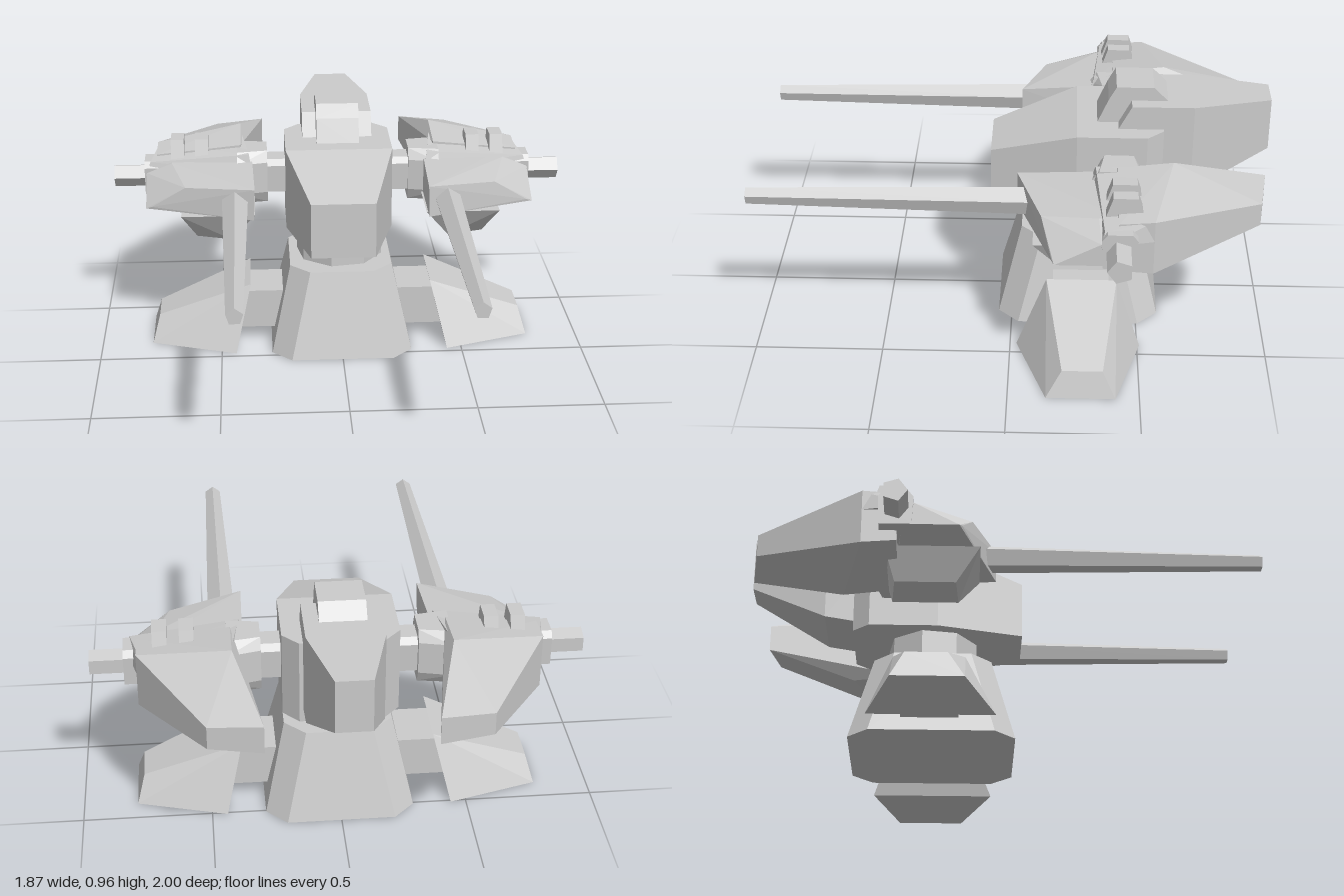
import * as THREE from 'three';
import { ConvexGeometry } from 'three/addons/geometries/ConvexGeometry.js';

const material = new THREE.MeshStandardMaterial({ color: 0xcccccc, flatShading: true });

export function createModel() {
  const model = new THREE.Group();
  model.name = 'gunTurret';

  const add = (name, geometry) => {
    const mesh = new THREE.Mesh(geometry, material);
    mesh.name = name;
    model.add(mesh);
    return mesh;
  };
  // Faceted solid around corner points; side = -1 mirrors it in x
  const solid = (name, points, side = 1) =>
    add(name, new ConvexGeometry(points.map(([x, y, z]) => new THREE.Vector3(side * x, y, z))));
  // Corners of a rectangle lying at height y
  const rect = (x0, x1, y, z0, z1) => [[x0, y, z0], [x1, y, z0], [x1, y, z1], [x0, y, z1]];
  // Corners of an upright rectangle at depth z
  const slice = (x0, x1, y0, y1, z) => [[x0, y0, z], [x1, y0, z], [x1, y1, z], [x0, y1, z]];
  // Corners of a rectangle with cut corners
  const cut = (hx, hz, c, y, zc) => [
    ...rect(-hx, hx, y, zc - hz + c, zc + hz - c),
    ...rect(-hx + c, hx - c, y, zc - hz, zc + hz),
  ];

  // Pedestal and neck
  solid('pedestal', [...cut(0.29, 0.32, 0.08, 0, -0.267), ...cut(0.21, 0.23, 0.08, 0.355, -0.267)]);
  const neck = add('neck', new THREE.CylinderGeometry(0.18, 0.18, 0.13, 8));
  neck.position.set(0, 0.415, -0.27);
  neck.rotation.y = THREE.MathUtils.degToRad(32);

  // Central body with its sloped nose
  solid('body', [
    ...slice(-0.13, 0.13, 0.47, 0.7, 0.085),
    ...slice(-0.22, 0.22, 0.47, 0.81, -0.25),
    ...slice(-0.22, 0.22, 0.47, 0.81, -0.52),
    ...slice(-0.16, 0.16, 0.47, 0.81, -0.585),
  ]);

  // Tail block narrowing to the rear, and the raised hatch on top
  solid('tail', [
    ...slice(-0.145, 0.145, 0.5, 0.81, -0.41),
    ...slice(-0.145, 0.145, 0.5, 0.905, -0.46),
    ...slice(-0.145, 0.145, 0.54, 0.905, -0.7),
    ...slice(-0.068, 0.068, 0.695, 0.905, -1),
  ]);
  solid('hatch', [
    ...rect(-0.088, 0.088, 0.79, -0.6, -0.32),
    ...rect(-0.088, 0.088, 0.905, -0.6, -0.37),
    ...rect(-0.088, 0.088, 0.96, -0.545, -0.4),
  ]);

  for (const side of [1, -1]) {
    // Foot with its strut
    const strut = add('legStrut', new THREE.BoxGeometry(0.28, 0.165, 0.22));
    strut.position.set(side * 0.31, 0.138, -0.275);
    solid('foot', [
      [0.44, 0, -0.025], [0.44, 0, -0.51], [0.79, 0, -0.145], [0.79, 0, -0.41],
      [0.375, 0.262, -0.14], [0.375, 0.262, -0.415],
      [0.76, 0.105, -0.205], [0.76, 0.105, -0.36],
    ], side);

    // Shoulder axle, hub and the stub at its outer end
    solid('shoulderAxle', [0.2, 0.805].flatMap((x) => [
      [x, 0.595, -0.345], [x, 0.595, -0.465], [x, 0.71, -0.34], [x, 0.71, -0.47],
      [x, 0.735, -0.36], [x, 0.735, -0.45],
    ]), side);
    solid('shoulderHub', [[0.295, 0.08], [0.42, 0.11]].flatMap(([x, h]) => [
      [x, 0.55, -0.41 - h * 0.7], [x, 0.55, -0.41 + h * 0.7],
      [x, 0.775, -0.41 - h * 0.7], [x, 0.775, -0.41 + h * 0.7],
      [x, 0.6, -0.41 - h], [x, 0.6, -0.41 + h], [x, 0.73, -0.41 - h], [x, 0.73, -0.41 + h],
    ]), side);
    const stub = add('axleStub', new THREE.CylinderGeometry(0.048, 0.048, 0.16, 5));
    stub.rotation.z = -Math.PI / 2;
    stub.position.set(side * 0.853, 0.662, -0.405);

    // Gun housing, wedge-shaped in plan
    solid('gunHousing', [
      [0.355, 0.595, -0.025], [0.77, 0.61, -0.16], [0.795, 0.6, -0.17], [0.795, 0.6, -0.38], [0.36, 0.57, -0.42],
      [0.35, 0.725, -0.025], [0.63, 0.705, -0.12], [0.69, 0.735, -0.33],
      [0.7, 0.74, -0.42], [0.36, 0.745, -0.42], [0.795, 0.69, -0.34],
    ], side);
    solid('keel', [
      ...rect(0.35, 0.65, 0.59, -0.45, -0.09),
      [0.45, 0.455, -0.17], [0.45, 0.455, -0.42], [0.59, 0.47, -0.18], [0.59, 0.47, -0.41],
    ], side);

    // Armour plate over the housing with two clamps
    solid('topPlate', [
      [0.36, 0.7, -0.3], [0.8, 0.68, -0.34], [0.755, 0.68, -0.53], [0.4, 0.7, -0.53],
      [0.37, 0.77, -0.32], [0.78, 0.735, -0.35], [0.745, 0.76, -0.53], [0.4, 0.79, -0.53],
    ], side);
    for (const x of [0.567, 0.667]) {
      solid('clamp', [
        ...rect(x - 0.027, x + 0.027, 0.73, -0.5, -0.35),
        ...rect(x - 0.027, x + 0.027, 0.82, -0.47, -0.38),
      ], side);
    }

    // Swept rear wing
    solid('rearWing', [
      [0.405, 0.53, -0.4], [0.405, 0.785, -0.4], [0.755, 0.555, -0.4], [0.755, 0.75, -0.4],
      [0.405, 0.505, -0.61], [0.405, 0.81, -0.61], [0.755, 0.545, -0.53], [0.755, 0.76, -0.53],
      [0.31, 0.6, -0.965], [0.31, 0.71, -0.965], [0.51, 0.61, -0.935], [0.51, 0.7, -0.935],
    ], side);

    // Tapered five-sided barrel
    const barrel = add('gunBarrel', new THREE.CylinderGeometry(0.033, 0.056, 1.12, 5));
    barrel.rotation.set(Math.PI / 2, Math.PI, 0);
    barrel.position.set(side * 0.43, 0.655, 0.44);
    barrel.rotation.set(Math.PI / 2, 0, 0);
    barrel.geometry.rotateY(Math.PI);
  }
  return model;
}
